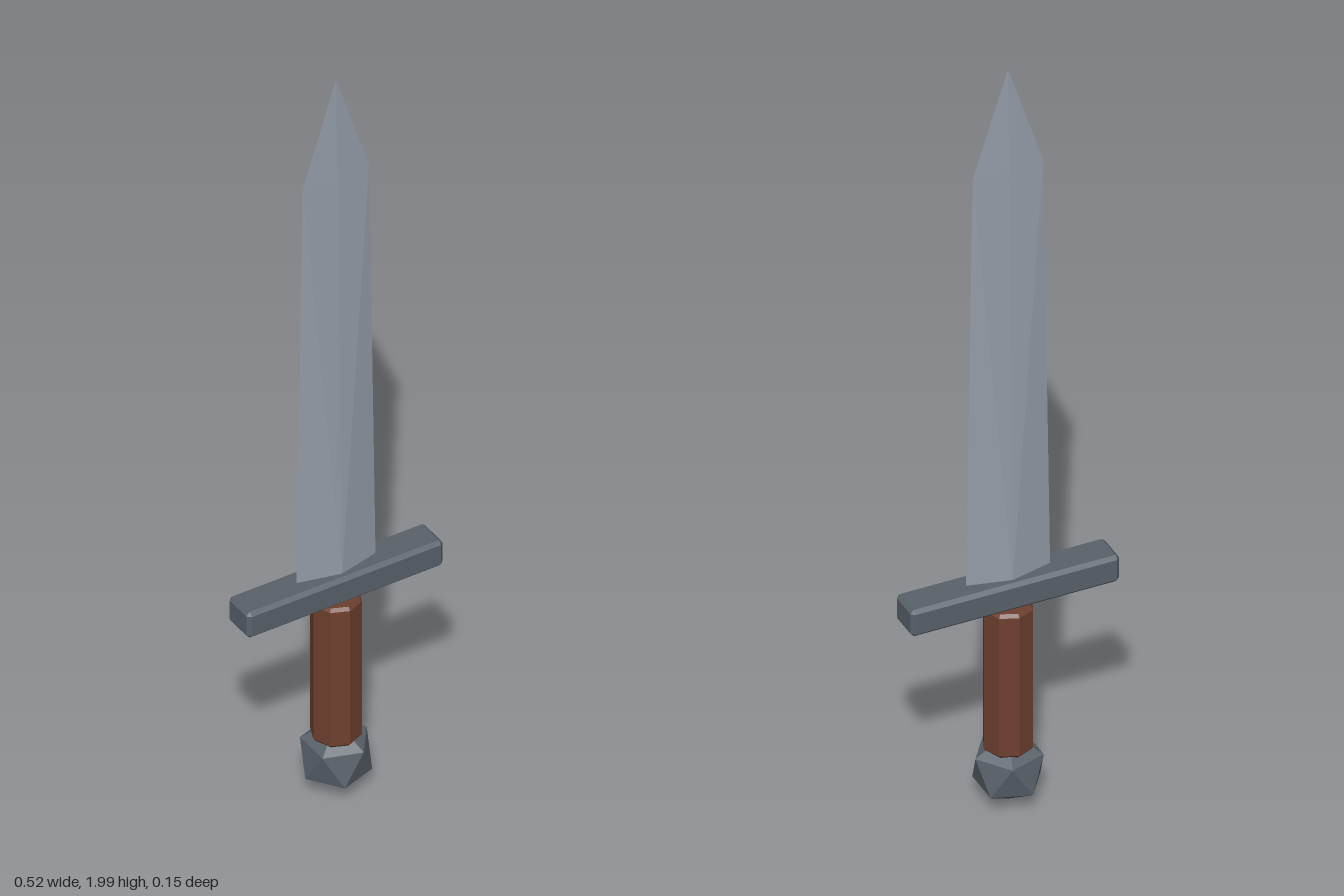
import * as THREE from 'three';
import { ConvexGeometry } from 'three/addons/geometries/ConvexGeometry.js';

const BLADE = 0x959da9, METAL = 0x59616a, LEATHER = 0x6e4030;

function part(name, geometry, color) {
  const mesh = new THREE.Mesh(geometry, new THREE.MeshStandardMaterial({ color, flatShading: true }));
  mesh.name = name;
  return mesh;
}

// Box with every edge chamfered by c (half sizes x, y, z)
function chamferedBox(x, y, z, c) {
  const points = [];
  for (const sx of [-1, 1]) for (const sy of [-1, 1]) for (const sz of [-1, 1]) {
    points.push(
      new THREE.Vector3(sx * x, sy * (y - c), sz * (z - c)),
      new THREE.Vector3(sx * (x - c), sy * y, sz * (z - c)),
      new THREE.Vector3(sx * (x - c), sy * (y - c), sz * z),
    );
  }
  return new ConvexGeometry(points);
}

// Diamond cross-sections [y, half width, half thickness] closing in a tip
function bladeGeometry(sections, tipY) {
  const points = [new THREE.Vector3(0, tipY, 0)];
  for (const [y, w, t] of sections) for (const s of [-1, 1]) {
    points.push(new THREE.Vector3(s * w, y, 0), new THREE.Vector3(0, y, s * t));
  }
  return new ConvexGeometry(points);
}

export function createModel() {
  const group = new THREE.Group();
  group.name = 'sword';

  // Blade: tapering diamond section with a pointed end
  group.add(part('blade', bladeGeometry([[0.61, 0.105, 0.025], [1.725, 0.088, 0.006]], 2), BLADE));

  // Crossguard
  const guard = part('crossguard', chamferedBox(0.26, 0.036, 0.044, 0.009), METAL);
  guard.position.y = 0.584;
  group.add(guard);

  // Grip: eight-sided, bevelled at both ends
  const profile = [[0, 0.153], [0.053, 0.153], [0.06, 0.161], [0.06, 0.537], [0.053, 0.545], [0, 0.545]]
    .map(([r, y]) => new THREE.Vector2(r, y));
  group.add(part('grip', new THREE.LatheGeometry(profile, 8), LEATHER));

  // Pommel: icosahedron turned to stand on a corner
  const pommelGeometry = new THREE.IcosahedronGeometry(0.091, 0);
  pommelGeometry.rotateZ(-Math.atan(2 / (1 + Math.sqrt(5))));
  const pommel = part('pommel', pommelGeometry, METAL);
  pommel.position.y = 0.098;
  group.add(pommel);

  return group;
}
